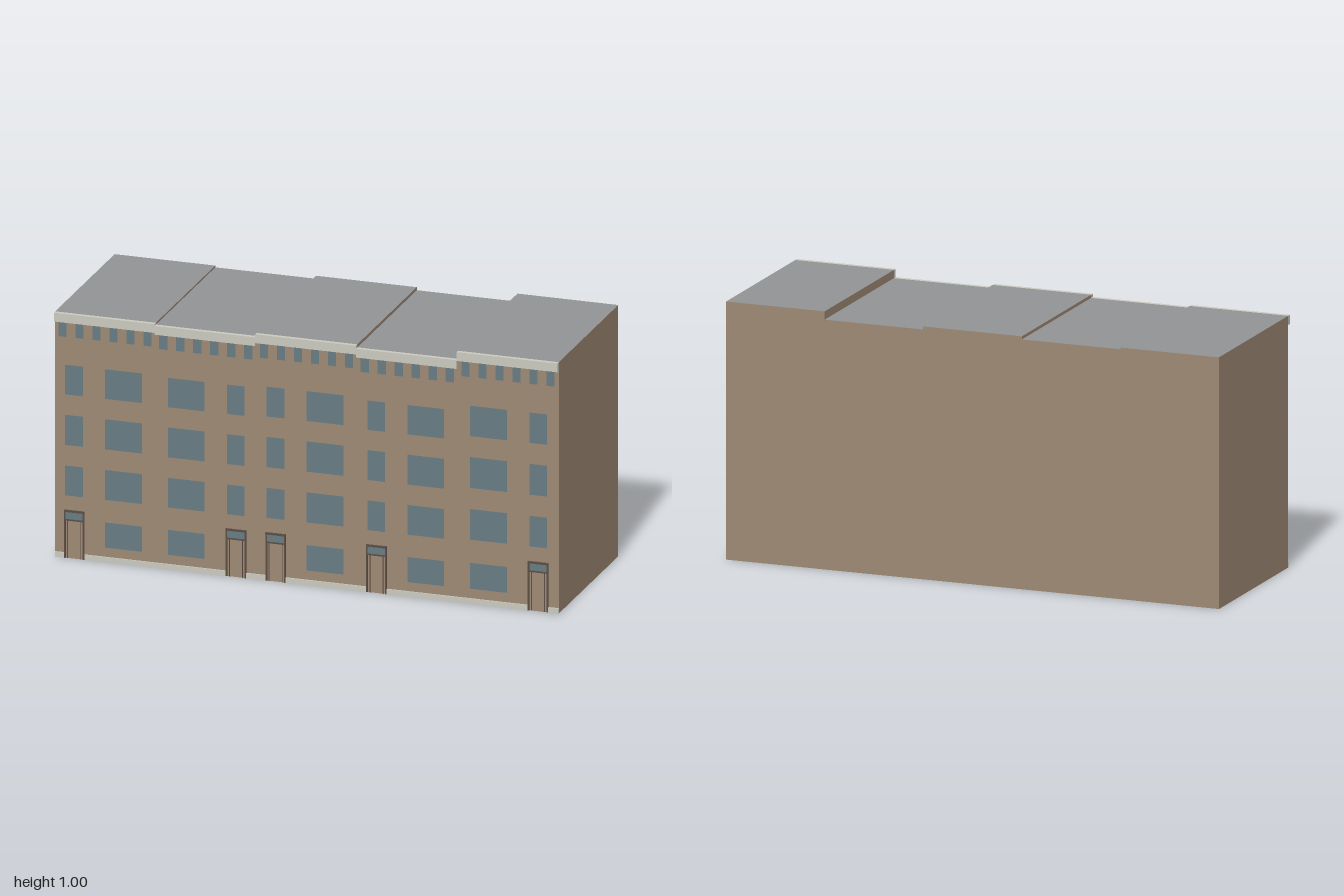
import * as THREE from 'three';

const mat = (name, color, extra = {}) => {
  const m = new THREE.MeshStandardMaterial({ color, ...extra });
  m.name = name;
  return m;
};

export function createModel() {
  const brick = mat('brick', 0x9f8a75);
  const roofing = mat('roofing', 0x929396);
  const stone = mat('stone', 0xcacabf);
  const glass = mat('glass', 0x687b84);
  const trim = mat('doorTrim', 0x5c4f45);

  const BACK = -0.352, FRONT = 0.335, WIDTH = 0.4;
  const model = new THREE.Group();
  model.name = 'rowOfHouses';

  // Box given by its minimum and maximum corners
  const box = (parent, name, material, x0, x1, y0, y1, z0, z1) => {
    const mesh = new THREE.Mesh(new THREE.BoxGeometry(x1 - x0, y1 - y0, z1 - z0), material);
    mesh.position.set((x0 + x1) / 2, (y0 + y1) / 2, (z0 + z1) / 2);
    mesh.name = name;
    parent.add(mesh);
  };
  // Flat pane just in front of the facade
  const pane = (parent, name, material, x0, x1, y0, y1, z = 0.339) => {
    const mesh = new THREE.Mesh(new THREE.PlaneGeometry(x1 - x0, y1 - y0), material);
    mesh.position.set((x0 + x1) / 2, (y0 + y1) / 2, z);
    mesh.name = name;
    parent.add(mesh);
  };

  // Storeys as fractions of the house height
  const storeys = [[0.255, 0.377], [0.461, 0.584], [0.667, 0.788]];

  const houses = [
    { h: 0.975, mirrored: false },
    { h: 0.968, mirrored: true },
    { h: 0.98, mirrored: false },
    { h: 0.968, mirrored: false },
    { h: 1.0, mirrored: true },
  ];

  houses.forEach(({ h, mirrored }, i) => {
    const house = new THREE.Group();
    house.name = 'house' + (i + 1);
    house.position.x = -1 + i * WIDTH;
    model.add(house);
    const span = (a, b) => (mirrored ? [0.395 - b, 0.395 - a] : [a, b]);

    // Walls with a flat roof on top (box face order: +x -x +y -y +z -z)
    box(house, 'wallsAndRoof', [brick, brick, roofing, brick, brick, brick], 0, WIDTH, 0, h, BACK, FRONT);
    box(house, 'cornice', stone, 0, WIDTH, h - 0.035, h, FRONT, 0.352);

    // Windows: narrow above the door, wide beside it
    const narrow = span(0.041, 0.111), wide = span(0.2, 0.346);
    for (const [a, b] of storeys) {
      pane(house, 'narrowWindow', glass, ...narrow, a * h, b * h);
      pane(house, 'wideWindow', glass, ...wide, a * h, b * h);
    }
    pane(house, 'groundWindow', glass, ...wide, 0.06 * h, 0.163 * h);
    for (let k = 0; k < 6; k++) {
      const x = 0.014 + k * 0.0675;
      pane(house, 'atticWindow', glass, x, x + 0.033, 0.902 * h, h - 0.035);
    }

    // Door with jambs, transom light and lintel
    const [d0, d1] = span(0.036, 0.117);
    const top = 0.196 * h;
    const door = new THREE.Group();
    door.name = 'door';
    house.add(door);
    pane(door, 'doorPanel', brick, d0 + 0.01, d1 - 0.01, 0, top - 0.04, 0.337);
    box(door, 'leftJamb', trim, d0, d0 + 0.006, 0, top, FRONT, 0.34);
    box(door, 'rightJamb', trim, d1 - 0.006, d1, 0, top, FRONT, 0.34);
    box(door, 'lintel', trim, d0, d1, top - 0.008, top, FRONT, 0.341);
    box(door, 'transomBar', trim, d0, d1, top - 0.042, top - 0.036, FRONT, 0.34);
    pane(door, 'transomLight', glass, d0 + 0.006, d1 - 0.006, top - 0.036, top - 0.008, 0.338);
    for (const x of [d0 + 0.013, d1 - 0.016]) {
      box(door, 'doorStile', trim, x, x + 0.003, 0, top - 0.042, FRONT, 0.339);
    }

    // Low stone plinth, interrupted by the door
    box(house, 'plinth', stone, 0, d0, 0, 0.021, FRONT, 0.34);
    box(house, 'plinth', stone, d1, WIDTH, 0, 0.021, FRONT, 0.34);
  });

  return model;
}
